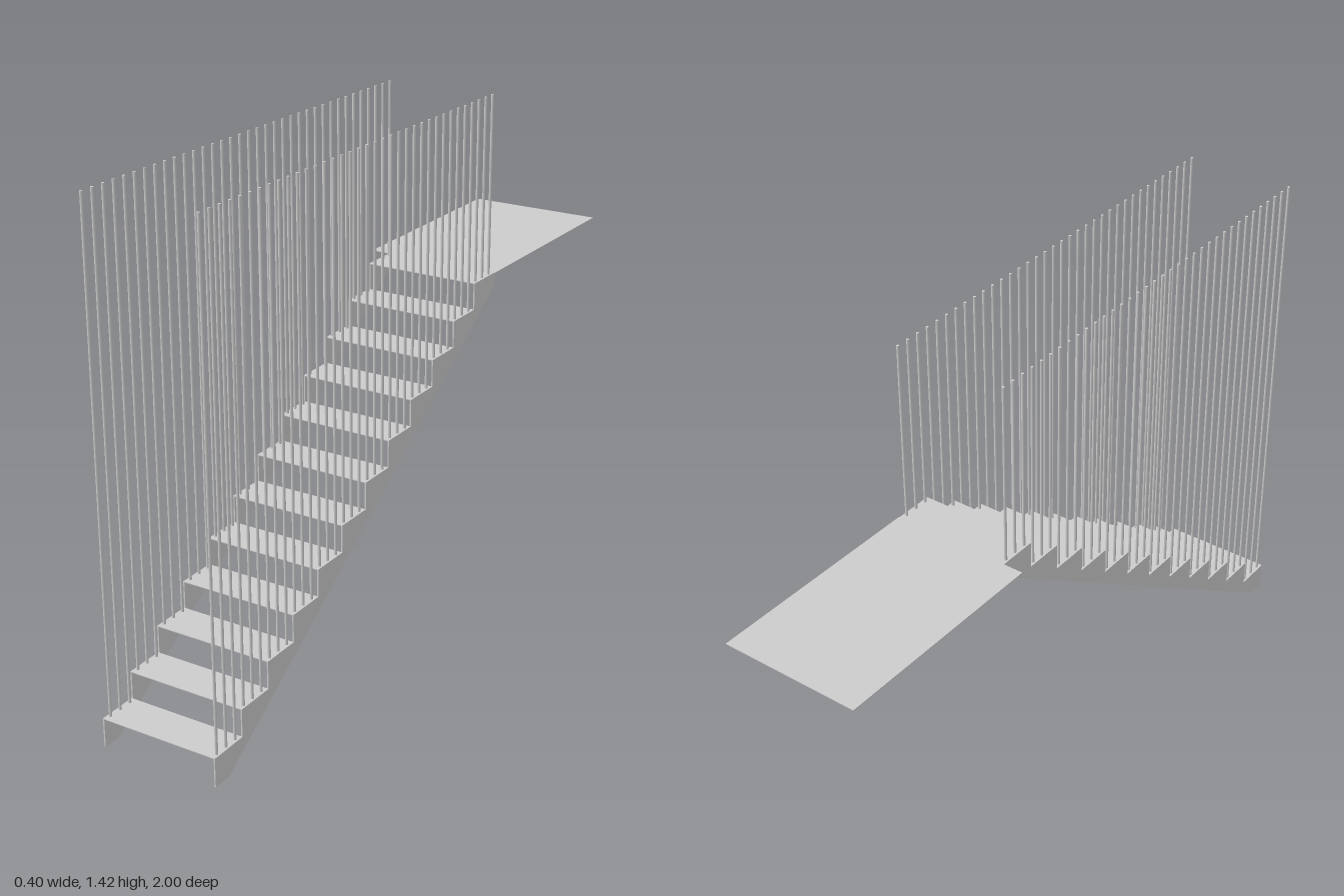
import * as THREE from 'three';

const STEPS = 12, RISE = 0.0759, FIRST = 0.08, FRONT = 1, BACK = -0.362;
const RUN = (FRONT - BACK) / STEPS;
const LEFT = 0.198, RIGHT = -0.143, PLATE = 0.004, SHEET = 0.002;
const RAIL_TOP = 1.423, POSTS_PER_STEP = 3;

const treadY = i => FIRST + i * RISE;
const treadZ = i => FRONT - i * RUN;

export function createModel() {
  const root = new THREE.Group();
  root.name = 'staircase';
  const mat = new THREE.MeshStandardMaterial({ color: 0xcccccc, side: THREE.DoubleSide });

  const add = (geometry, name, x, y, z, parent = root) => {
    const mesh = new THREE.Mesh(geometry, mat);
    mesh.name = name;
    mesh.position.set(x, y, z);
    parent.add(mesh);
    return mesh;
  };

  // Sawtooth side plates, drawn in (z, y) and turned to face sideways
  const profile = new THREE.Shape();
  profile.moveTo(FRONT, 0);
  for (let i = 0; i < STEPS; i++) {
    profile.lineTo(treadZ(i), treadY(i));
    profile.lineTo(treadZ(i + 1), treadY(i));
  }
  profile.lineTo(BACK, 0.875);
  profile.lineTo(0.945, 0);
  profile.closePath();
  const plate = new THREE.ExtrudeGeometry(profile, { depth: PLATE, bevelEnabled: false });
  plate.rotateY(-Math.PI / 2); // shape x becomes z, depth runs towards -x
  add(plate, 'leftStringer', LEFT, 0, 0);
  add(plate, 'rightStringer', RIGHT + PLATE, 0, 0);

  // Thin open treads between the plates
  const width = LEFT - RIGHT - 2 * PLATE;
  const tread = new THREE.BoxGeometry(width, SHEET, RUN);
  for (let i = 0; i < STEPS; i++) {
    add(tread, 'tread', (LEFT + RIGHT) / 2, treadY(i) - SHEET / 2, treadZ(i + 0.5));
  }

  // Upper landing
  const landingDepth = BACK + 1;
  add(new THREE.BoxGeometry(0.4, SHEET, landingDepth), 'landing',
    0, treadY(STEPS - 1) - SHEET / 2, -1 + landingDepth / 2);

  // Balusters: three per tread on each side, all ending at one height
  for (const [name, x] of [['leftBalusters', 0.189], ['rightBalusters', -0.134]]) {
    const row = new THREE.Group();
    row.name = name;
    root.add(row);
    for (let i = 0; i < STEPS; i++) {
      const height = RAIL_TOP - treadY(i);
      const post = new THREE.CylinderGeometry(0.004, 0.004, height, 10);
      for (let k = 0; k < POSTS_PER_STEP; k++) {
        add(post, 'baluster', x, treadY(i) + height / 2,
          treadZ(i + (k + 0.5) / POSTS_PER_STEP), row);
      }
    }
  }
  return root;
}
